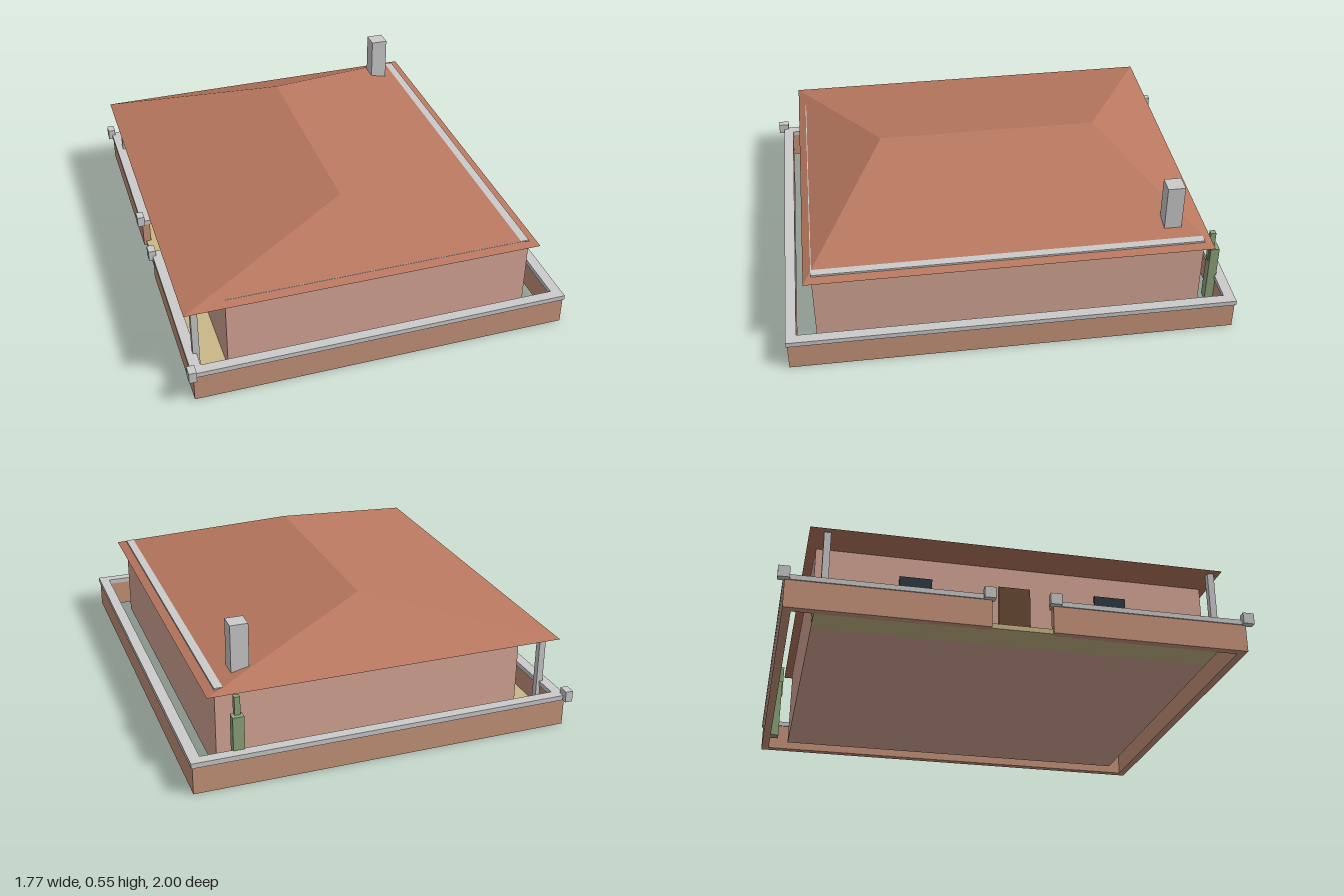
import * as THREE from 'three';

const mat = (color) => new THREE.MeshStandardMaterial({ color, flatShading: true });

export function createModel() {
  const model = new THREE.Group();
  model.name = 'bungalow';
  const plot = new THREE.Group();
  plot.name = 'plot';
  plot.rotation.y = 0.14; // the plot stands slightly turned
  model.add(plot);

  const M = {
    wall: mat(0xd9a898), fence: mat(0xc9967c), stone: mat(0xd8d8d4), roof: mat(0xb9785f),
    patio: mat(0xcbb88a), glass: mat(0x2e3a42), door: mat(0x6b4a35), plant: mat(0x8fa57c),
  };

  // box given by its extents on each axis
  const box = (name, m, x0, x1, y0, y1, z0, z1) => {
    const mesh = new THREE.Mesh(new THREE.BoxGeometry(x1 - x0, y1 - y0, z1 - z0), m);
    mesh.position.set((x0 + x1) / 2, (y0 + y1) / 2, (z0 + z1) / 2);
    mesh.name = name;
    plot.add(mesh);
  };

  // house body with a pale wall top that just breaks through the roof
  box('houseWalls', M.wall, -0.589, 0.64, 0, 0.341, -0.785, 0.758);
  box('wallTop', M.stone, -0.589, 0.64, 0.341, 0.351, -0.785, 0.758);

  // hipped roof
  const [x0, x1, z0, z1, eave] = [-0.752, 0.676, -0.82, 0.789, 0.335];
  const a = [x0, eave, z1], b = [x1, eave, z1], c = [x1, eave, z0], d = [x0, eave, z0];
  const rf = [-0.038, 0.5, 0.439], rb = [-0.038, 0.5, -0.468];
  const faces = [[a, b, rf], [b, c, rb], [b, rb, rf], [c, d, rb], [d, a, rf], [d, rf, rb], [a, d, c], [a, c, b]];
  const roofGeo = new THREE.BufferGeometry();
  roofGeo.setAttribute('position', new THREE.Float32BufferAttribute(faces.flat(2), 3));
  roofGeo.computeVertexNormals();
  const roof = new THREE.Mesh(roofGeo, M.roof);
  roof.name = 'roof';
  plot.add(roof);

  box('chimney', M.stone, 0.485, 0.555, 0.34, 0.553, -0.712, -0.642);

  // porch: floor, columns, windows and door
  box('patio', M.patio, -0.735, -0.589, 0, 0.02, -0.785, 0.758);
  for (const z of [-0.753, 0.753]) {
    box('porchColumn', M.stone, -0.723, -0.697, 0.02, 0.336, z - 0.013, z + 0.013);
  }
  for (const z of [-0.4, 0.373]) {
    box('window', M.glass, -0.599, -0.585, 0.125, 0.25, z - 0.063, z + 0.063);
  }
  box('door', M.door, -0.597, -0.585, 0.02, 0.25, -0.075, 0.05);

  // garden wall: brick run with a slightly wider coping
  const L = -0.751, R = 0.764, B = -0.903, F = 0.875, T = 0.042, s = 0.005;
  const run = (ax, bx, az, bz) => {
    box('gardenWall', M.fence, ax + s, bx - s, 0, 0.11, az + s, bz - s);
    box('wallCoping', M.stone, ax, bx, 0.11, 0.13, az, bz);
  };
  run(L, R, F - T, F);
  run(L, R, B, B + T);
  run(R - T, R, B + T - 2 * s, F - T + 2 * s);
  run(L, L + T, B + T - 2 * s, -0.13);
  run(L, L + T, 0.095, F - T + 2 * s);

  // small blocks on the wall at the corners and the gateway
  for (const z of [-0.902, -0.145, 0.107, 0.876]) {
    box('wallBlock', M.stone, -0.767, -0.737, 0.11, 0.155, z - 0.022, z + 0.022);
  }

  // planting behind the house
  box('shrub', M.plant, 0.553, 0.597, 0, 0.265, -0.868, -0.832);
  box('tallShrub', M.plant, 0.562, 0.584, 0.2, 0.338, -0.85, -0.828);

  return model;
}
